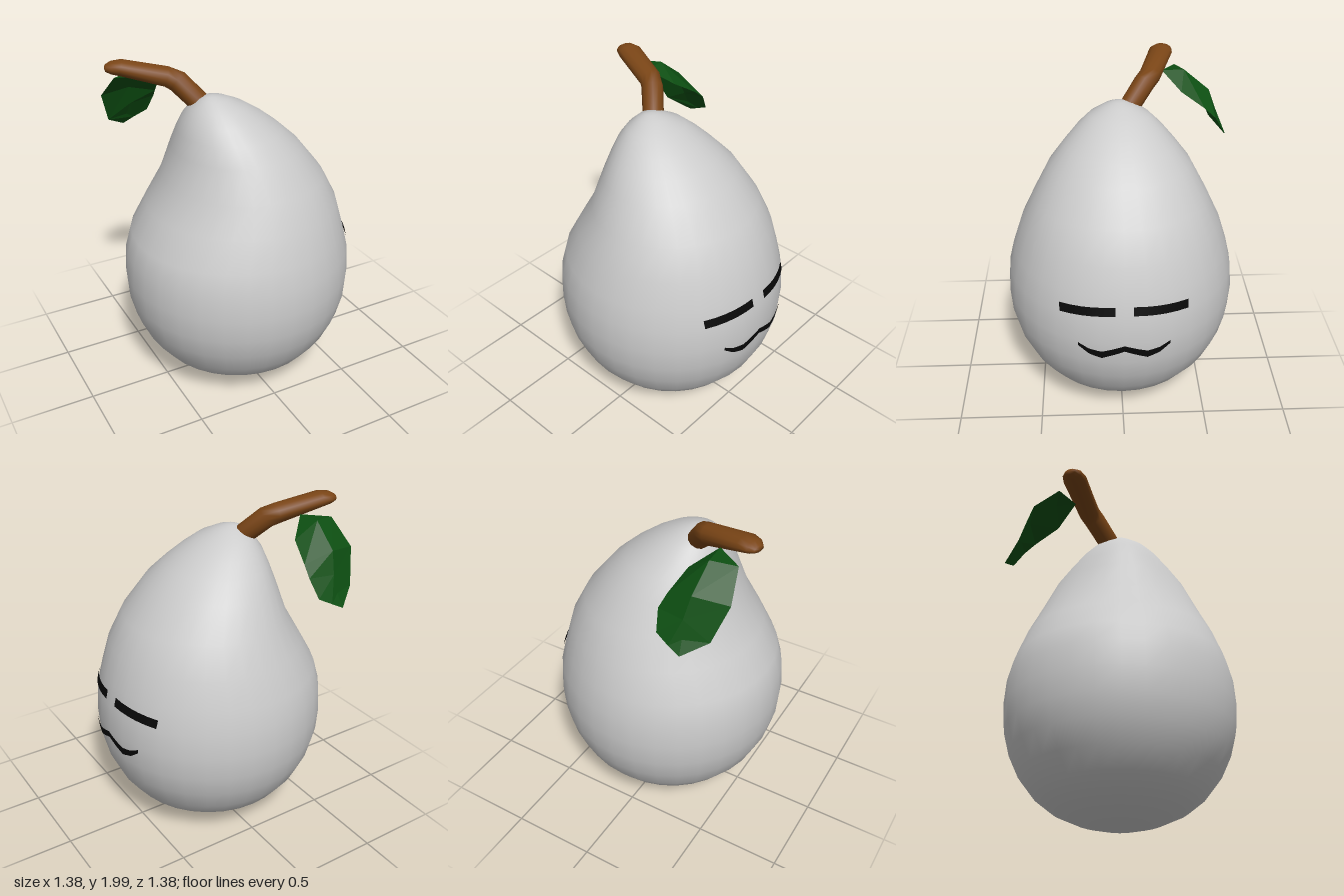
import * as THREE from 'three';
import { mergeVertices } from 'three/addons/utils/BufferGeometryUtils.js';

const V = (x, y, z) => new THREE.Vector3(x, y, z);

// Skins a list of equally long rows of points; closed rows wrap around.
function loft(rows, closed) {
  const n = rows[0].length;
  const index = [];
  for (let i = 0; i < rows.length - 1; i++) {
    for (let j = 0; j < (closed ? n : n - 1); j++) {
      const k = (j + 1) % n;
      const a = i * n + j, b = i * n + k, c = b + n, d = a + n;
      index.push(a, d, b, b, d, c);
    }
  }
  const geo = new THREE.BufferGeometry().setFromPoints(rows.flat());
  geo.setIndex(index);
  const merged = mergeVertices(geo, 1e-5);
  merged.computeVertexNormals();
  return merged;
}

function part(name, geometry, color, options = {}) {
  const mesh = new THREE.Mesh(geometry, new THREE.MeshStandardMaterial({ color, ...options }));
  mesh.name = name;
  return mesh;
}

// Body sections: height, least x, greatest x, half depth
const SECTIONS = [
  [0.005, 0, 0, 0], [0.012, -0.13, 0.13, 0.13], [0.05, -0.27, 0.27, 0.27],
  [0.11, -0.4, 0.4, 0.4], [0.19, -0.5, 0.5, 0.5], [0.3, -0.585, 0.585, 0.585],
  [0.43, -0.645, 0.645, 0.645], [0.56, -0.678, 0.678, 0.678], [0.7, -0.688, 0.688, 0.688],
  [0.85, -0.677, 0.677, 0.677], [0.98, -0.64, 0.645, 0.645], [1.15, -0.54, 0.595, 0.59],
  [1.32, -0.44, 0.505, 0.51], [1.5, -0.38, 0.36, 0.41], [1.6, -0.35, 0.25, 0.325],
  [1.68, -0.32, 0.145, 0.25], [1.745, -0.275, 0.04, 0.175], [1.79, -0.225, -0.06, 0.085],
  [1.805, -0.19, -0.12, 0.035], [1.81, -0.155, -0.155, 0],
];

function bodyGeometry() {
  const sides = 32;
  return loft(SECTIONS.map(([y, x0, x1, depth]) =>
    Array.from({ length: sides }, (_, j) => {
      const t = (j / sides) * Math.PI * 2;
      return V((x0 + x1) / 2 + ((x1 - x0) / 2) * Math.cos(t), y, depth * Math.sin(t));
    })), true);
}

// Point just outside the +x side of the body
function onBody(y, z) {
  const i = SECTIONS.findIndex((s) => s[0] > y);
  const lo = SECTIONS[i - 1], hi = SECTIONS[i];
  const f = (y - lo[0]) / (hi[0] - lo[0]);
  const [x0, x1, depth] = [1, 2, 3].map((k) => lo[k] + (hi[k] - lo[k]) * f);
  const x = (x0 + x1) / 2 + ((x1 - x0) / 2) * Math.sqrt(1 - (z / depth) ** 2);
  return V(x + 0.008, y, z);
}

// Painted stroke through points of z, lower y, upper y
function stroke(name, points) {
  const rows = [[], [], []];
  const steps = 5;
  for (let i = 0; i < points.length - 1; i++) {
    for (let s = i ? 1 : 0; s <= steps; s++) {
      const [z, y0, y1] = points[i].map((v, k) => v + (points[i + 1][k] - v) * (s / steps));
      rows.forEach((row, r) => row.push(onBody(y0 + (y1 - y0) * (r / 2), z)));
    }
  }
  return part(name, loft(rows, false), 0x080808, { side: THREE.DoubleSide });
}

// Stem: elliptical rings along a bent path; radii across and upright
function stemGeometry() {
  const rings = [
    [V(-0.17, 1.72, -0.035), 0, 0], [V(-0.17, 1.72, -0.035), 0.06, 0.06],
    [V(-0.29, 1.865, -0.155), 0.063, 0.063], [V(-0.34, 1.89, -0.19), 0.065, 0.058],
    [V(-0.58, 1.955, -0.27), 0.073, 0.044], [V(-0.63, 1.957, -0.285), 0.06, 0.034],
    [V(-0.66, 1.955, -0.295), 0.033, 0.018], [V(-0.665, 1.955, -0.297), 0, 0],
  ];
  const sides = 12;
  const last = rings.length - 1;
  return loft(rings.map(([p, a, b], i) => {
    const dir = rings[Math.min(i + 1, last)][0].clone().sub(rings[Math.max(i - 1, 0)][0]).normalize();
    const across = V(0, 1, 0).cross(dir).normalize();
    const upright = across.clone().cross(dir);
    return Array.from({ length: sides }, (_, j) => {
      const t = (j / sides) * Math.PI * 2;
      return p.clone().addScaledVector(across, a * Math.cos(t)).addScaledVector(upright, b * Math.sin(t));
    });
  }), true);
}

// Leaf: rows of right edge, midrib and left edge, closed below
function leafGeometry() {
  const base = V(-0.44, 1.885, -0.27);
  const rows = [
    [base, base, base],
    [V(-0.32, 1.79, -0.38), V(-0.45, 1.885, -0.405), V(-0.59, 1.87, -0.36)],
    [V(-0.28, 1.7, -0.52), V(-0.44, 1.76, -0.56), V(-0.627, 1.73, -0.5)],
    [V(-0.265, 1.645, -0.585), V(-0.42, 1.64, -0.605), V(-0.565, 1.54, -0.585)],
    [V(-0.29, 1.54, -0.645), V(-0.37, 1.5, -0.665), V(-0.44, 1.465, -0.675)],
  ];
  return loft(rows.map((row, i) => {
    const gap = i === 0 || i === rows.length - 1 ? 0 : 0.02;
    return [...row, row[1].clone().add(V(0, -gap, gap))];
  }), true);
}

export function createModel() {
  const group = new THREE.Group();
  group.name = 'pear';
  group.add(part('body', bodyGeometry(), 0xcccccc));
  group.add(part('stem', stemGeometry(), 0x7a4516));
  group.add(part('leaf', leafGeometry(), 0x0d4f12, { flatShading: true, side: THREE.DoubleSide }));

  // Closed eyes and wavy mouth on the +x side
  for (const s of [1, -1]) {
    const eye = [[0.05, 0.885, 0.937], [0.36, 0.865, 0.915]].map(([z, a, b]) => [s * z, a, b]);
    group.add(stroke(s > 0 ? 'eyeFront' : 'eyeBack', s > 0 ? eye : eye.reverse()));
  }
  const half = [[0, 0.655, 0.695], [0.13, 0.6, 0.648], [0.2, 0.622, 0.66], [0.26, 0.67, 0.692]];
  const mirrored = half.slice(1).reverse().map(([z, a, b]) => [-z, a, b]);
  group.add(stroke('mouth', [...mirrored, ...half]));
  return group;
}
